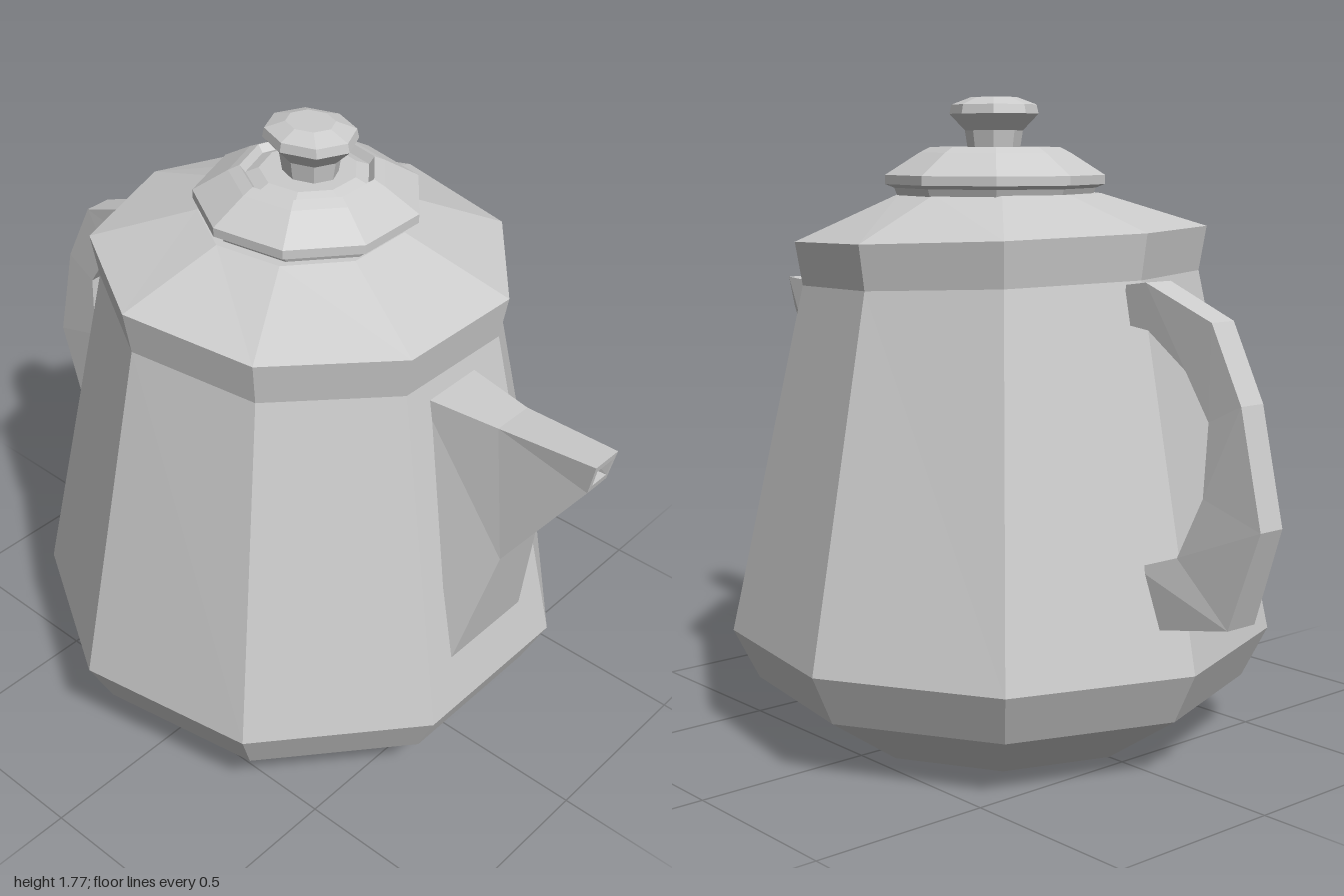
import * as THREE from 'three';

const material = new THREE.MeshStandardMaterial({ color: 0xcccccc, flatShading: true });

function addPart(group, name, geometry) {
  const mesh = new THREE.Mesh(geometry, material);
  mesh.name = name;
  group.add(mesh);
  return mesh;
}

// Faceted turned part; one corner points to the back
function turned(profile, sides) {
  return new THREE.LatheGeometry(profile.map(([r, y]) => new THREE.Vector2(r, y)), sides, Math.PI);
}

// Skin over four-cornered rings, capped at both ends
function loft(rings) {
  const pos = [];
  const tri = (a, b, c) => pos.push(...a, ...b, ...c);
  const quad = (a, b, c, d) => { tri(a, b, c); tri(a, c, d); };
  for (let i = 0; i < rings.length - 1; i++) {
    for (let j = 0; j < 4; j++) {
      const k = (j + 1) % 4;
      quad(rings[i][j], rings[i][k], rings[i + 1][k], rings[i + 1][j]);
    }
  }
  quad(...[...rings[0]].reverse());
  quad(...rings[rings.length - 1]);
  const geometry = new THREE.BufferGeometry();
  geometry.setAttribute('position', new THREE.Float32BufferAttribute(pos, 3));
  geometry.computeVertexNormals();
  return geometry;
}

export function createModel() {
  const pot = new THREE.Group();
  pot.name = 'teapot';

  // Nine-sided body, its shoulder edge leaning slightly
  const body = turned([
    [0, 0], [0.45, 0], [0.69, 0.16], [0.76, 0.3], [0.55, 1.28],
    [0.57, 1.4], [0.28, 1.51], [0, 1.51],
  ], 9);
  const p = body.attributes.position;
  for (let i = 0; i < p.count; i++) {
    const y = p.getY(i);
    if (y > 1.2 && y < 1.45) p.setY(i, y - 0.035 * p.getZ(i) - 0.02 * p.getX(i));
  }
  body.computeVertexNormals();
  addPart(pot, 'body', body);

  // Stepped lid
  const lid = addPart(pot, 'lid', turned([
    [0.27, 1.5], [0.28, 1.525], [0.305, 1.535], [0.305, 1.56],
    [0.21, 1.62], [0.18, 1.635], [0.165, 1.615], [0.13, 1.63], [0, 1.63],
  ], 9));
  lid.position.x = 0.02;

  // Knob, longer from front to back
  const knob = addPart(pot, 'knob', turned([
    [0.065, 1.61], [0.075, 1.68], [0.115, 1.725], [0.11, 1.75], [0.06, 1.77], [0, 1.77],
  ], 8));
  knob.scale.z = 1.15;
  knob.position.set(0.015, 0, 0.01);

  // Spout: [bottom half width, y, z, top half width, y, z], ending in a sunk square opening
  const spout = addPart(pot, 'spout', loft([
    [0.15, 0.47, 0.69, 0.095, 1.215, 0.5],
    [0.078, 0.82, 0.77, 0.06, 1.205, 0.72],
    [0.04, 1.13, 0.98, 0.046, 1.22, 1],
    [0.029, 1.15, 0.985, 0.033, 1.2, 0.996],
    [0.025, 1.15, 0.92, 0.025, 1.19, 0.93],
  ].map(([bw, by, bz, tw, ty, tz]) => [[-bw, by, bz], [bw, by, bz], [tw, ty, tz], [-tw, ty, tz]])));
  spout.position.x = -0.015;

  // Handle: [outer half width, y, z, inner half width, y, z], from top to bottom
  addPart(pot, 'handle', loft([
    [0.045, 1.29, -0.54, 0.045, 1.19, -0.53],
    [0.045, 1.3, -0.61, 0.045, 1.18, -0.62],
    [0.04, 1.215, -0.83, 0.045, 1.09, -0.75],
    [0.04, 1.02, -0.93, 0.045, 0.97, -0.83],
    [0.04, 0.72, -1, 0.055, 0.78, -0.825],
    [0.05, 0.46, -0.91, 0.07, 0.62, -0.755],
    [0.08, 0.42, -0.68, 0.1, 0.58, -0.64],
  ].map(([ow, oy, oz, iw, iy, iz]) => [[iw, iy, iz], [-iw, iy, iz], [-ow, oy, oz], [ow, oy, oz]])));

  return pot;
}
